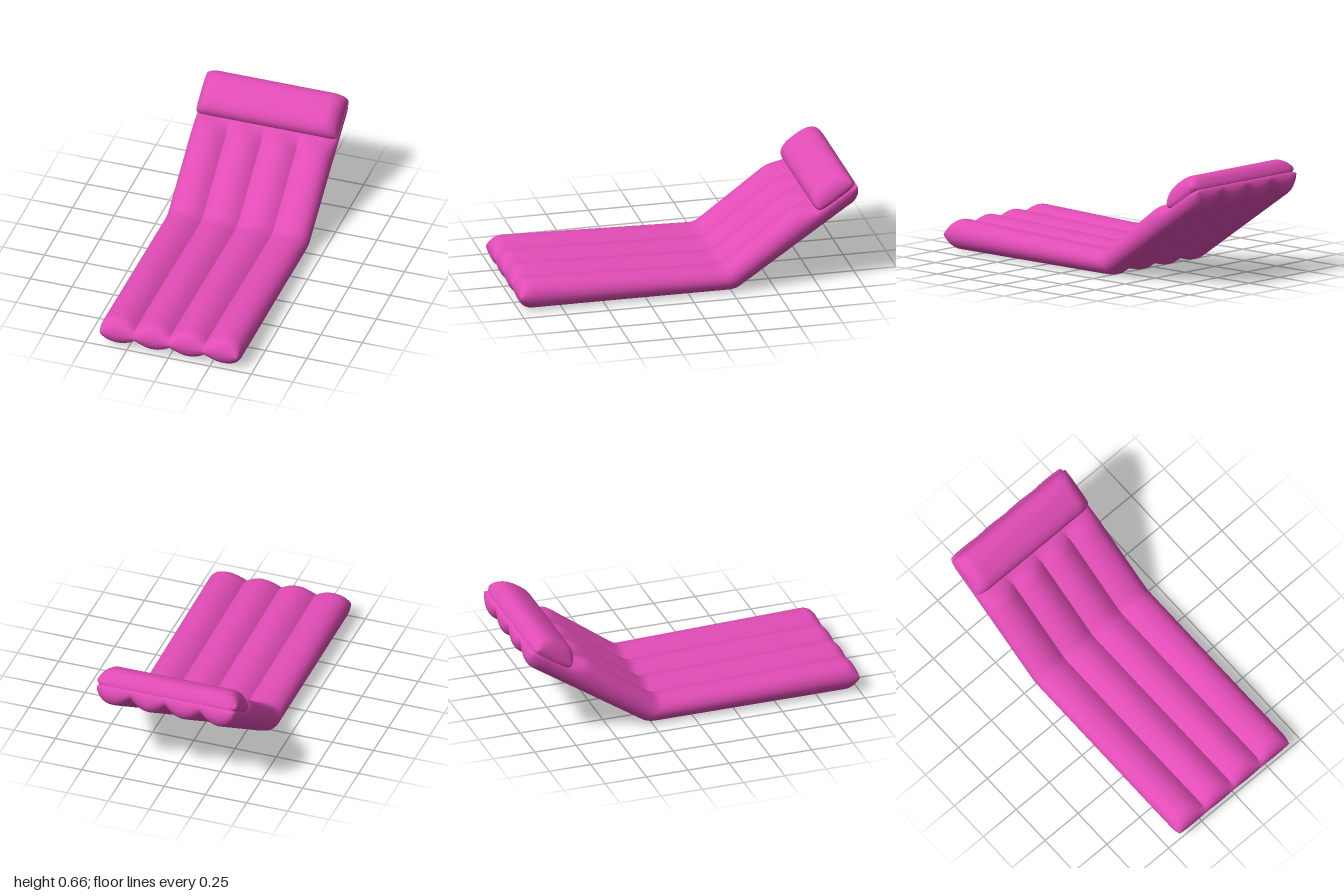
import * as THREE from 'three';
import { toCreasedNormals } from 'three/addons/utils/BufferGeometryUtils.js';

const HALF_WIDTH = 0.425, TUBES = 4, STEPS = 14;
const VALLEY = 0.48; // seam height as a fraction of a tube's half thickness

// Skin a list of closed rings, each with the same number of points
function loft(rings, crease) {
  const n = rings[0].length, index = [];
  for (let i = 0; i < rings.length - 1; i++) {
    for (let j = 0; j < n; j++) {
      const a = i * n + j, b = i * n + (j + 1) % n, c = a + n, d = b + n;
      index.push(a, b, c, b, d, c);
    }
  }
  const geometry = new THREE.BufferGeometry();
  geometry.setAttribute('position', new THREE.Float32BufferAttribute(rings.flat(2), 3));
  geometry.setIndex(index);
  return toCreasedNormals(geometry, crease);
}

// Backrest frame: u runs up the slope, v stands out from its underside; gives [z, y]
const slope = (u, v) => [-0.32 - 0.829 * u + 0.559 * v, 0.03 + 0.559 * u + 0.829 * v];

// Height profile across the four tubes: [x, seam part, bulge part]
function tubeProfile() {
  const points = [], w = HALF_WIDTH / TUBES;
  for (let k = 0; k < TUBES; k++) {
    for (let s = k ? 1 : 0; s <= STEPS; s++) {
      let t = -1 + 2 * s / STEPS;
      const outer = (k === 0 && t < 0) || (k === TUBES - 1 && t > 0);
      if (outer) t = Math.sin(t * Math.PI / 2);
      const x = -HALF_WIDTH + w * (2 * k + 1 + t);
      const edge = Math.sqrt(Math.max(0, 1 - Math.abs(t) ** 2.4));
      points.push(outer
        ? [x, VALLEY * edge, (1 - VALLEY) * edge]
        : [x, VALLEY, (1 - VALLEY) * (1 - t * t)]);
    }
  }
  return points;
}

// One ring round the mat, from its top and bottom [z, y]; bulge flattens the upper side
function matRing(profile, top, bottom, bulge = 1, widthScale = 1) {
  const mid = [(top[0] + bottom[0]) / 2, (top[1] + bottom[1]) / 2];
  const half = [(top[0] - bottom[0]) / 2, (top[1] - bottom[1]) / 2];
  const at = (x, f) => [x * widthScale, mid[1] + half[1] * f, mid[0] + half[0] * f];
  const upper = profile.map(([x, seam, rise]) => at(x, seam + rise * bulge));
  const lower = profile.map(([x, seam, rise]) => at(x, -seam - rise)).reverse();
  return [...upper, ...lower];
}

function matGeometry() {
  const profile = tubeProfile(), rings = [], CAP = 10;
  // rounded foot end
  for (let i = 0; i <= CAP; i++) {
    const a = i / CAP * Math.PI / 2, z = 0.92 + 0.08 * Math.cos(a), h = 0.0865 * Math.sin(a);
    rings.push(matRing(profile, [z, 0.0875 + h], [z, 0.0875 - h], 1, 0.965 + 0.035 * Math.sin(a)));
  }
  // flat seat and the fold
  for (const [tz, ty, bz, by] of [
    [0.4, 0.159, 0.38, 0.001], [-0.14, 0.143, -0.21, 0.001], [-0.18, 0.142, -0.25, 0.002],
    [-0.2, 0.144, -0.27, 0.005], [-0.22, 0.151, -0.29, 0.011], [-0.245, 0.167, -0.32, 0.03],
  ]) rings.push(matRing(profile, [tz, ty], [bz, by]));
  // backrest, its upper side flattening where the pillow starts
  for (const [u, bulge] of [
    [0.25, 1], [0.45, 1], [0.475, 0.99], [0.495, 0.93], [0.511, 0.82],
    [0.545, 0.5], [0.575, 0.17], [0.592, 0], [0.7, 0],
  ]) rings.push(matRing(profile, slope(u, u < 0.3 ? 0.167 : 0.177), slope(u, 0), bulge));
  // rounded head end
  for (let i = 0; i <= CAP; i++) {
    const a = i / CAP * Math.PI / 2, u = 0.775 + 0.085 * Math.sin(a), h = 0.0885 * Math.cos(a);
    rings.push(matRing(profile, slope(u, 0.0885 + h), slope(u, 0.0885 - h), 0, 0.965 + 0.035 * Math.cos(a)));
  }
  return loft(rings, 1.05);
}

// Pillow: a rounded section across the backrest, closing softly at both ends
function pillowGeometry() {
  const rings = [], END = 10, SIDES = 40, ROUND = 0.085;
  const power = (c) => Math.sign(c) * Math.abs(c) ** (2 / 2.6);
  const ends = [];
  for (let i = 0; i <= END; i++) {
    const a = i / END * Math.PI / 2;
    ends.push([HALF_WIDTH - ROUND * (1 - Math.cos(a)), Math.sin(a)]);
  }
  const stations = [...ends.map(([x, s]) => [-x, s]), ...ends.reverse()];
  for (const [x, s] of stations) {
    const ring = [];
    for (let j = 0; j < SIDES; j++) {
      const a = j / SIDES * Math.PI * 2, up = power(Math.sin(a));
      const u = 0.726 + (0.115 + 0.02 * s) * power(Math.cos(a));
      const v = 0.126 + (up > 0 ? 0.094 : 0.06) * s * up;
      const [z, y] = slope(u, v);
      ring.push([x, y, z]);
    }
    rings.push(ring);
  }
  return loft(rings, 1.05);
}

export function createModel() {
  const group = new THREE.Group();
  group.name = 'inflatableLounger';
  const pink = new THREE.MeshStandardMaterial({ color: 0xe04cb5 });
  pink.name = 'pinkVinyl';
  const add = (name, geometry) => {
    const mesh = new THREE.Mesh(geometry, pink);
    mesh.name = name;
    group.add(mesh);
  };
  add('tubeMat', matGeometry());
  add('pillow', pillowGeometry());
  return group;
}
